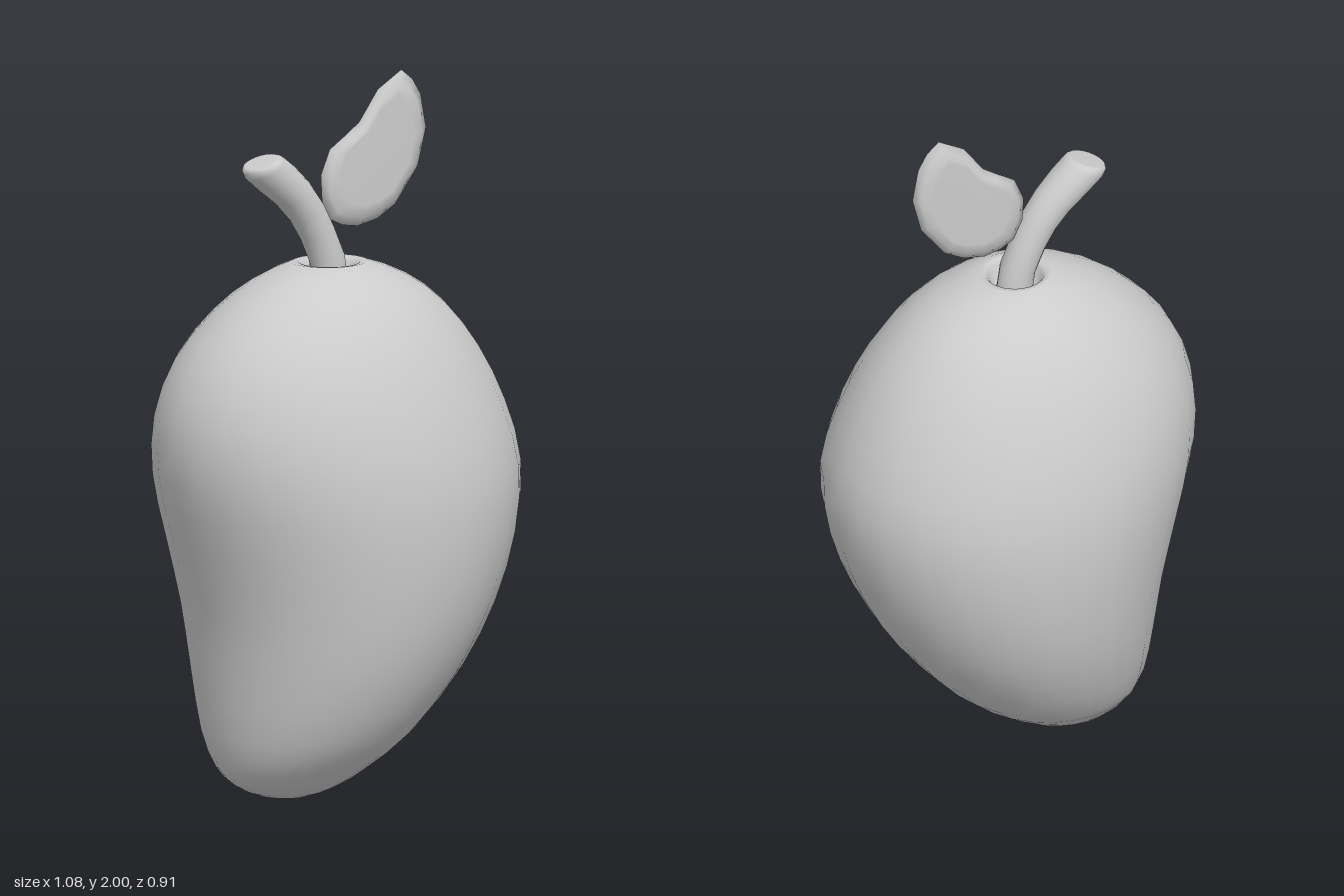
import * as THREE from 'three';

const material = new THREE.MeshStandardMaterial({ color: 0xcccccc });

// Skin a stack of closed rings (arrays of Vector3 with equal counts).
// Rings run clockwise as seen from the end the stack grows towards.
function loft(name, rings) {
  const n = rings[0].length;
  const positions = rings.flat().flatMap((p) => [p.x, p.y, p.z]);
  const index = [];
  for (let i = 0; i < rings.length - 1; i++) {
    for (let j = 0; j < n; j++) {
      const a = i * n + j, b = i * n + ((j + 1) % n);
      index.push(a, a + n, b, b, a + n, b + n);
    }
  }
  const geometry = new THREE.BufferGeometry();
  geometry.setAttribute('position', new THREE.Float32BufferAttribute(positions, 3));
  geometry.setIndex(index);
  geometry.computeVertexNormals();
  const mesh = new THREE.Mesh(geometry, material);
  mesh.name = name;
  return mesh;
}

// Ellipse around (x, y, 0), tilted about z.
function ellipse(x, y, rx, rz, sides, tilt = 0) {
  return Array.from({ length: sides }, (_, j) => {
    const a = (j / sides) * Math.PI * 2;
    const u = Math.cos(a) * rx;
    return new THREE.Vector3(x + u * Math.cos(tilt), y + u * Math.sin(tilt), Math.sin(a) * rz);
  });
}

// Fruit: rows of height, left edge, right edge, half depth; ends inside the dimple.
function createFruit() {
  const rows = [
    [0, -0.18, -0.18, 0], [0.012, -0.25, -0.1, 0.085], [0.04, -0.31, -0.01, 0.145],
    [0.09, -0.357, 0.075, 0.208], [0.19, -0.387, 0.2, 0.3], [0.36, -0.405, 0.342, 0.385],
    [0.54, -0.43, 0.447, 0.433], [0.73, -0.48, 0.518, 0.453], [0.91, -0.529, 0.54, 0.447],
    [1.08, -0.533, 0.497, 0.408], [1.236, -0.475, 0.42, 0.345], [1.36, -0.365, 0.322, 0.267],
    [1.44, -0.25, 0.215, 0.185], [1.49, -0.125, 0.09, 0.1],
    [1.475, -0.095, 0.055, 0.075], [1.44, -0.075, 0.035, 0.056], [1.42, -0.02, -0.02, 0],
  ];
  const edges = new THREE.SplineCurve(rows.map((r) => new THREE.Vector2(r[1], r[2])));
  const heights = new THREE.SplineCurve(rows.map((r) => new THREE.Vector2(r[0], r[3])));
  const steps = (rows.length - 1) * 2;
  const rings = [];
  for (let i = 0; i <= steps; i++) {
    const e = edges.getPoint(i / steps), h = heights.getPoint(i / steps);
    rings.push(ellipse((e.x + e.y) / 2, Math.max(h.x, 0), (e.y - e.x) / 2, h.y, 28));
  }
  return loft('fruit', rings);
}

// Stem: rows of x, y, in-plane radius, depth radius, tilt; flares to a rounded cut end.
function createStem() {
  const rows = [
    [-0.015, 1.42, 0.05, 0.05, 0.15], [-0.027, 1.5, 0.05, 0.05, 0.25],
    [-0.06, 1.575, 0.05, 0.05, 0.38], [-0.095, 1.637, 0.052, 0.053, 0.5],
    [-0.138, 1.69, 0.055, 0.057, 0.62], [-0.193, 1.739, 0.06, 0.061, 0.6],
    [-0.232, 1.772, 0.062, 0.063, 0.45], [-0.241, 1.784, 0.059, 0.061, 0.38],
    [-0.245, 1.79, 0.052, 0.054, 0.35], [-0.246, 1.791, 0.045, 0.047, 0.35],
    [-0.246, 1.791, 0, 0, 0.35],
  ];
  return loft('stem', rows.map(([x, y, rx, rz, tilt]) => ellipse(x, y, rx, rz, 20, tilt)));
}

// Leaf: outline narrowing to a sharp rim around two flat faces.
function createLeaf() {
  const outline = [
    [0.225, 2], [0.262, 1.97], [0.289, 1.925], [0.307, 1.83], [0.28, 1.725], [0.205, 1.625],
    [0.145, 1.59], [0.08, 1.576], [0.03, 1.584], [-0.01, 1.603], [-0.038, 1.66], [-0.042, 1.73],
    [-0.013, 1.8], [0.04, 1.835], [0.085, 1.867], [0.147, 1.953],
  ];
  const layers = [[0, -0.021], [0.7, -0.021], [0.78, -0.019], [0.88, -0.012], [1, 0],
    [0.88, 0.012], [0.78, 0.019], [0.7, 0.021], [0, 0.021]];
  const leaf = loft('leaf', layers.map(([s, z]) => outline.map(([x, y]) =>
    new THREE.Vector3(0.14 + (x - 0.14) * s, 1.77 + (y - 1.77) * s, z))));
  leaf.position.z = -0.008;
  return leaf;
}

export function createModel() {
  const group = new THREE.Group();
  group.name = 'fruitWithLeaf';
  group.add(createFruit(), createStem(), createLeaf());
  return group;
}
